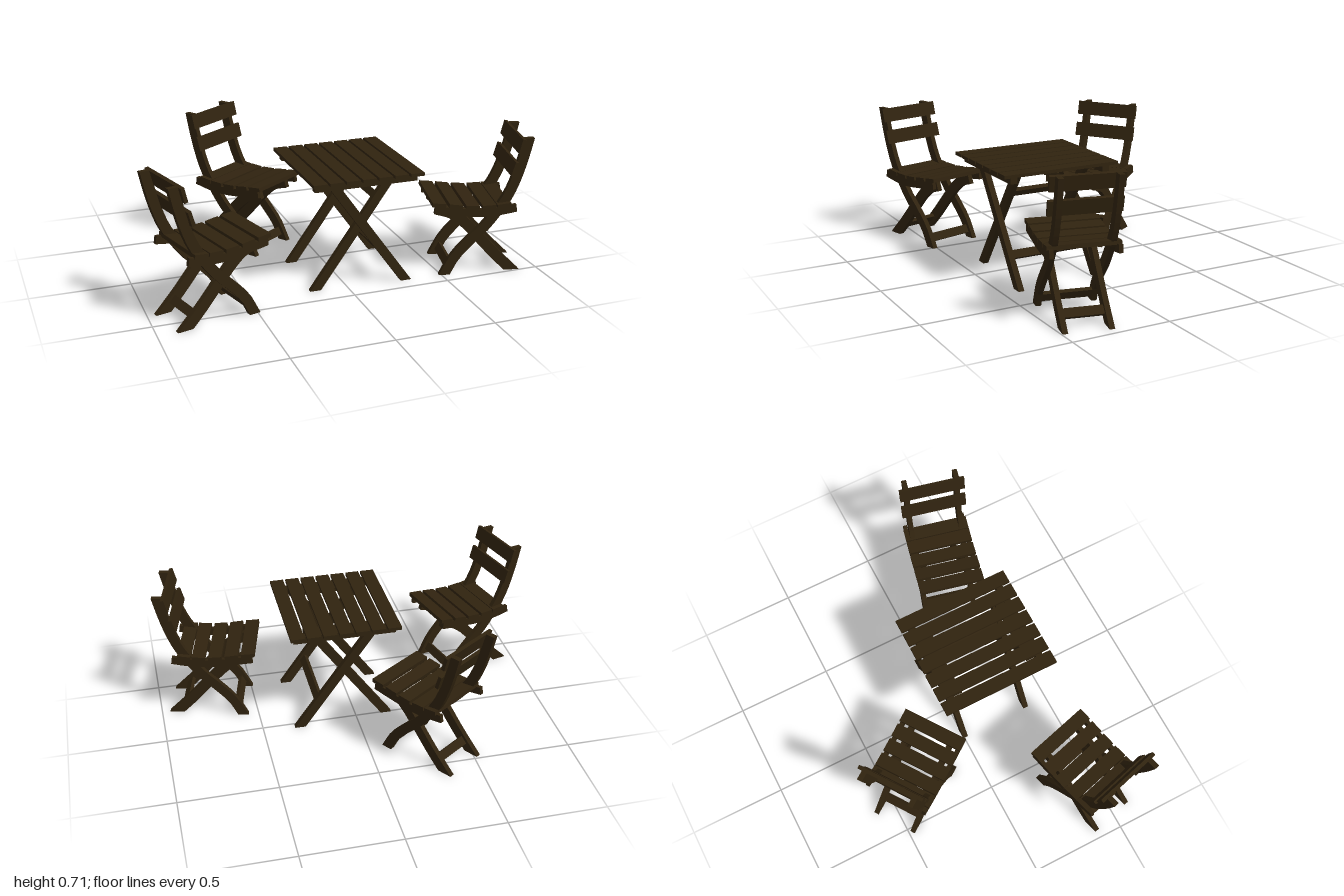
import * as THREE from 'three';

const wood = new THREE.MeshStandardMaterial({ color: 0x30230f });
wood.name = 'dark wood';

function box(parent, name, size, pos, tilt = 0) {
  const m = new THREE.Mesh(new THREE.BoxGeometry(...size), wood);
  m.name = name;
  m.position.set(...pos);
  m.rotation.z = tilt;
  parent.add(m);
  return m;
}

// Flat plank following a curve in the xy plane, centred on depth z.
// cutStart / cutEnd give heights where an end is sawn off level.
function plank(parent, name, points, width, thick, z, cutStart = null, cutEnd = null) {
  const pts = points.map(([x, y]) => new THREE.Vector3(x, y, 0));
  const curve = pts.length > 2 ? new THREE.CatmullRomCurve3(pts) : new THREE.LineCurve3(...pts);
  const n = pts.length > 2 ? 18 : 1;
  const sides = [[], []];
  for (let i = 0; i <= n; i++) {
    const p = curve.getPointAt(i / n), t = curve.getTangentAt(i / n);
    [1, -1].forEach((s, k) => {
      const q = new THREE.Vector2(p.x - s * t.y * width / 2, p.y + s * t.x * width / 2);
      const cut = i === 0 ? cutStart : i === n ? cutEnd : null;
      if (cut !== null) {
        q.x += t.x * (cut - q.y) / t.y;
        q.y = cut;
      }
      sides[k].push(q);
    });
  }
  const shape = new THREE.Shape([...sides[0], ...sides[1].reverse()]);
  const geo = new THREE.ExtrudeGeometry(shape, { depth: thick, bevelEnabled: false });
  geo.translate(0, 0, z - thick / 2);
  const m = new THREE.Mesh(geo, wood);
  m.name = name;
  parent.add(m);
}

function createTable() {
  const g = new THREE.Group();
  g.name = 'table';
  // Top slats
  for (let i = -3; i <= 3; i++) box(g, 'tableSlat', [0.07, 0.016, 0.615], [i * 0.0825, 0.582, 0]);
  for (const s of [1, -1]) {
    // Rails under the top and the blocks holding the legs
    box(g, 'tableRail', [0.525, 0.036, 0.036], [0, 0.557, s * 0.25]);
    box(g, 'legBlock', [0.40, 0.02, 0.05], [0, 0.564, s * 0.207]);
    // Crossed legs
    plank(g, 'outerTableLeg', [[0.235, 0], [-0.165, 0.56]], 0.045, 0.03, s * 0.215, 0, 0.56);
    plank(g, 'innerTableLeg', [[-0.235, 0], [0.165, 0.56]], 0.045, 0.028, s * 0.185, 0, 0.56);
  }
  // Stretchers
  box(g, 'lowerStretcher', [0.022, 0.042, 0.40], [0.131, 0.145, 0], 0.62);
  box(g, 'upperStretcher', [0.022, 0.036, 0.345], [0.086, 0.449, 0], -0.62);
  return g;
}

// Chair facing +x, with the front edge of the seat at the origin.
function createChair() {
  const g = new THREE.Group();
  g.name = 'chair';
  const post = [[-0.08, 0], [-0.13, 0.095], [-0.205, 0.18], [-0.275, 0.25], [-0.34, 0.335],
    [-0.392, 0.42], [-0.428, 0.51], [-0.457, 0.61], [-0.48, 0.71]];
  const leg = [[-0.435, 0], [-0.345, 0.09], [-0.25, 0.195], [-0.175, 0.275], [-0.115, 0.32], [-0.04, 0.345]];
  const rail = [[-0.015, 0.36], [-0.11, 0.348], [-0.25, 0.335], [-0.34, 0.34], [-0.43, 0.355]];
  for (const s of [1, -1]) {
    plank(g, 'backPost', post, 0.05, 0.026, s * 0.135, 0, 0.71);
    plank(g, 'rearLeg', leg, 0.055, 0.026, s * 0.108, 0);
    plank(g, 'seatRail', rail, 0.04, 0.02, s * 0.158);
  }
  // Seat slats following the dished rails: [distance back, height, tilt, length]
  const slats = [[0.036, 0.386, 0.1, 0.345], [0.121, 0.376, 0.14, 0.345], [0.206, 0.367, 0.07, 0.345],
    [0.291, 0.366, -0.04, 0.345], [0.366, 0.371, -0.12, 0.345]];
  for (const [d, y, tilt, len] of slats) box(g, 'seatSlat', [0.069, 0.02, len], [-d, y, 0], tilt);
  // Back slats on the front of the posts
  box(g, 'topBackSlat', [0.018, 0.074, 0.345], [-0.44, 0.674, 0], 0.24);
  box(g, 'lowerBackSlat', [0.018, 0.074, 0.345], [-0.409, 0.558, 0], 0.27);
  // Foot stretchers
  box(g, 'frontStretcher', [0.02, 0.045, 0.25], [-0.105, 0.045, 0], 0.5);
  box(g, 'rearStretcher', [0.02, 0.045, 0.20], [-0.38, 0.058, 0], -0.75);
  return g;
}

export function createModel() {
  const model = new THREE.Group();
  model.name = 'gardenFurniture';
  const table = createTable();
  table.position.set(0.072, 0, 0.192);
  model.add(table);
  // Chairs around the table: [x, z, turn]
  for (const [x, z, turn] of [[-0.475, 0.365, 0.26], [0.47, 0.27, Math.PI - 0.23], [-0.165, -0.155, -0.963]]) {
    const chair = createChair();
    chair.position.set(x, 0, z);
    chair.rotation.y = turn;
    model.add(chair);
  }
  return model;
}
